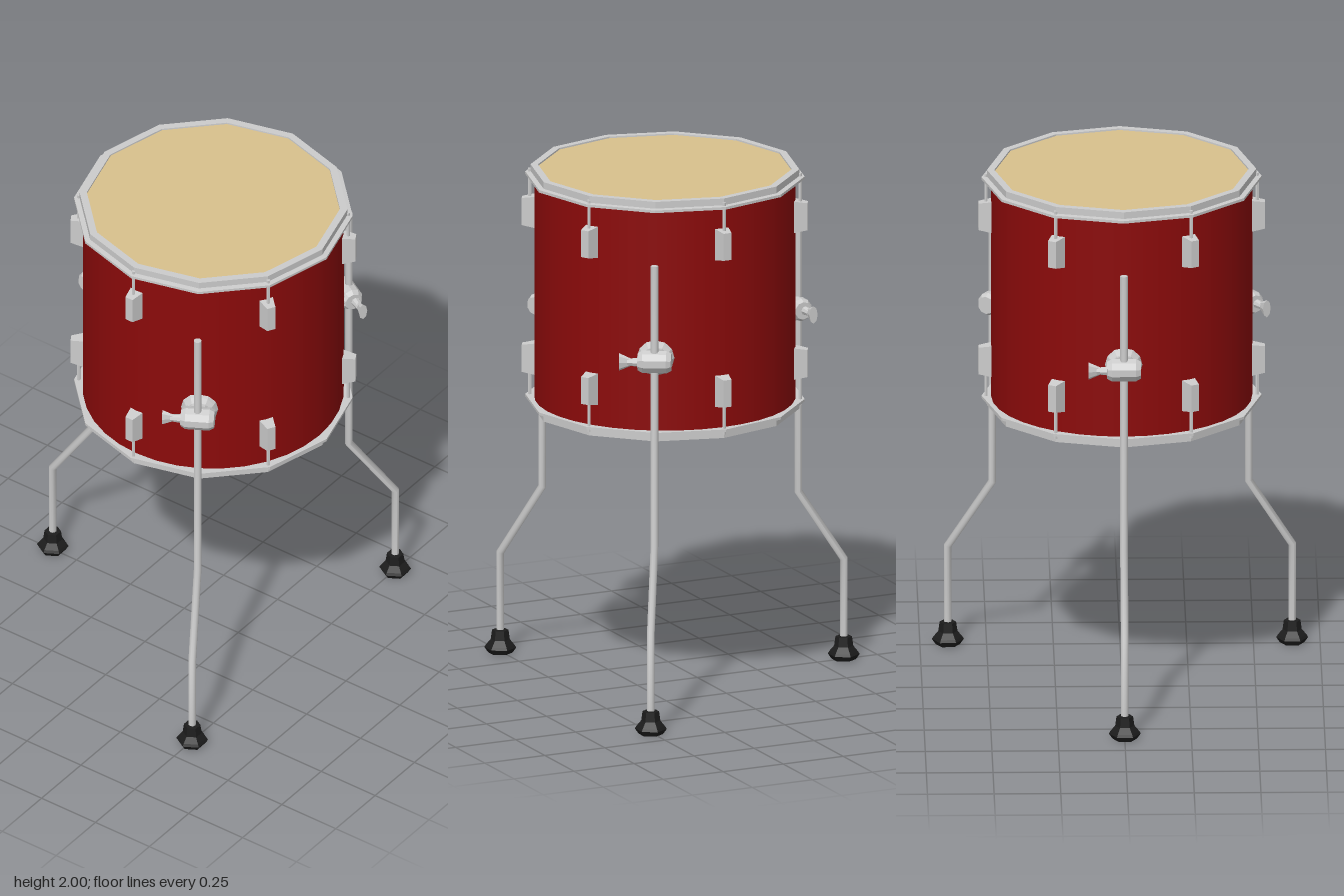
import * as THREE from 'three';

const flat = (color) => new THREE.MeshStandardMaterial({ color, flatShading: true });
const metal = flat(0xcccccc);
const smoothMetal = new THREE.MeshStandardMaterial({ color: 0xcccccc });
const red = new THREE.MeshStandardMaterial({ color: 0x8b0a0a });
const tan = flat(0xd8c08c);
const rubber = flat(0x1c1c1c);

const CENTER_X = 0.135, MID_Y = 1.535, HALF = 0.465;

function add(parent, name, geometry, material, x = 0, y = 0, z = 0) {
  const mesh = new THREE.Mesh(geometry, material);
  mesh.name = name;
  mesh.position.set(x, y, z);
  parent.add(mesh);
  return mesh;
}

const lathe = (points, sides) =>
  new THREE.LatheGeometry(points.map(([r, y]) => new THREE.Vector2(r, y)), sides);

// Group whose local +x points outward at the given angle around the drum
function spoke(parent, name, degrees) {
  const group = new THREE.Group();
  group.name = name;
  group.rotation.y = -THREE.MathUtils.degToRad(degrees);
  parent.add(group);
  return group;
}

// Lug block: a box tapering towards its outer face
function lugGeometry() {
  const g = new THREE.BoxGeometry(0.06, 0.125, 0.06);
  const p = g.attributes.position;
  for (let i = 0; i < p.count; i++) {
    if (p.getX(i) > 0) p.setXYZ(i, p.getX(i), p.getY(i) * 0.84, p.getZ(i) * 0.55);
  }
  return g;
}

// Leg rod: a cylinder whose rings follow the bends, mitred at each bend
function legGeometry() {
  const rings = [[0.555, 1.765, 0], [0.555, 0.675, 0.307], [0.745, 0.39, 0.307], [0.745, 0.05, 0]];
  const g = new THREE.CylinderGeometry(0.0145, 0.0145, 3, 10, 3);
  const p = g.attributes.position;
  for (let i = 0; i < p.count; i++) {
    const [x, y, tilt] = rings[Math.round(1.5 - p.getY(i))];
    p.setXY(i, p.getX(i) + x, y + p.getX(i) * tilt);
  }
  g.computeVertexNormals();
  return g;
}

// Hoop, head, lugs and tension rods for one end of the drum
function drumEnd(name) {
  const end = new THREE.Group();
  end.name = name;
  add(end, 'hoop', lathe([
    [0.475, -0.038], [0.525, -0.038], [0.525, -0.028], [0.505, -0.026],
    [0.505, 0], [0.477, 0], [0.475, -0.038],
  ], 12), metal, 0, HALF);
  add(end, 'head', new THREE.CylinderGeometry(0.48, 0.48, 0.02, 12), tan, 0, HALF - 0.016);
  for (let a = 30; a < 360; a += 60) {
    const lug = spoke(end, 'lug', a);
    add(lug, 'lugBlock', lugGeometry(), metal, 0.507, 0.285);
    add(lug, 'tensionRod', new THREE.CylinderGeometry(0.007, 0.007, 0.13, 6), metal, 0.508, 0.385);
  }
  return end;
}

function leg(parent, degrees) {
  const g = spoke(parent, 'leg', degrees);
  add(g, 'legRod', legGeometry(), smoothMetal);

  // Rubber foot
  const foot = add(g, 'foot', lathe([
    [0, 0], [0.046, 0], [0.06, 0.02], [0.054, 0.03], [0.036, 0.052], [0.031, 0.088], [0, 0.092],
  ], 6), rubber, 0.745);
  foot.name = 'foot';

  // Clamp: flared base against the shell and a cross barrel gripping the rod
  const clamp = new THREE.Group();
  clamp.name = 'clamp';
  clamp.position.y = 1.39;
  g.add(clamp);
  const base = add(clamp, 'clampBase', lathe([
    [0, 0], [0.074, 0], [0.064, 0.025], [0.052, 0.045], [0.052, 0.06], [0, 0.06],
  ], 12), metal, 0.475);
  base.rotation.z = -Math.PI / 2;
  const barrel = add(clamp, 'clampBarrel', lathe([
    [0, -0.063], [0.034, -0.063], [0.044, -0.045], [0.044, 0.045], [0.034, 0.063], [0, 0.063],
  ], 10), metal, 0.547);
  barrel.rotation.x = Math.PI / 2;

  // Wing nut
  const stem = add(clamp, 'wingNutStem', new THREE.CylinderGeometry(0.013, 0.018, 0.045, 8),
    metal, 0.555, 0, 0.08);
  stem.rotation.x = Math.PI / 2;
  const wing = add(clamp, 'wingNut', new THREE.CylinderGeometry(0.034, 0.014, 0.045, 8),
    metal, 0.555, 0, 0.11);
  wing.rotation.x = Math.PI / 2;
  wing.scale.x = 0.5;
}

export function createModel() {
  const model = new THREE.Group();
  model.name = 'floorDrum';
  const drum = new THREE.Group();
  drum.name = 'drum';
  drum.position.x = CENTER_X;
  model.add(drum);

  // Shell
  add(drum, 'shell', new THREE.CylinderGeometry(0.49, 0.49, 2 * HALF - 0.06, 36, 1, true), red, 0, MID_Y);

  // Matching top and bottom ends
  const top = drumEnd('topEnd'), bottom = drumEnd('bottomEnd');
  top.position.y = bottom.position.y = MID_Y;
  bottom.rotation.x = Math.PI;
  drum.add(top, bottom);

  // Three legs
  for (const a of [60, 180, 300]) leg(drum, a);
  return model;
}
